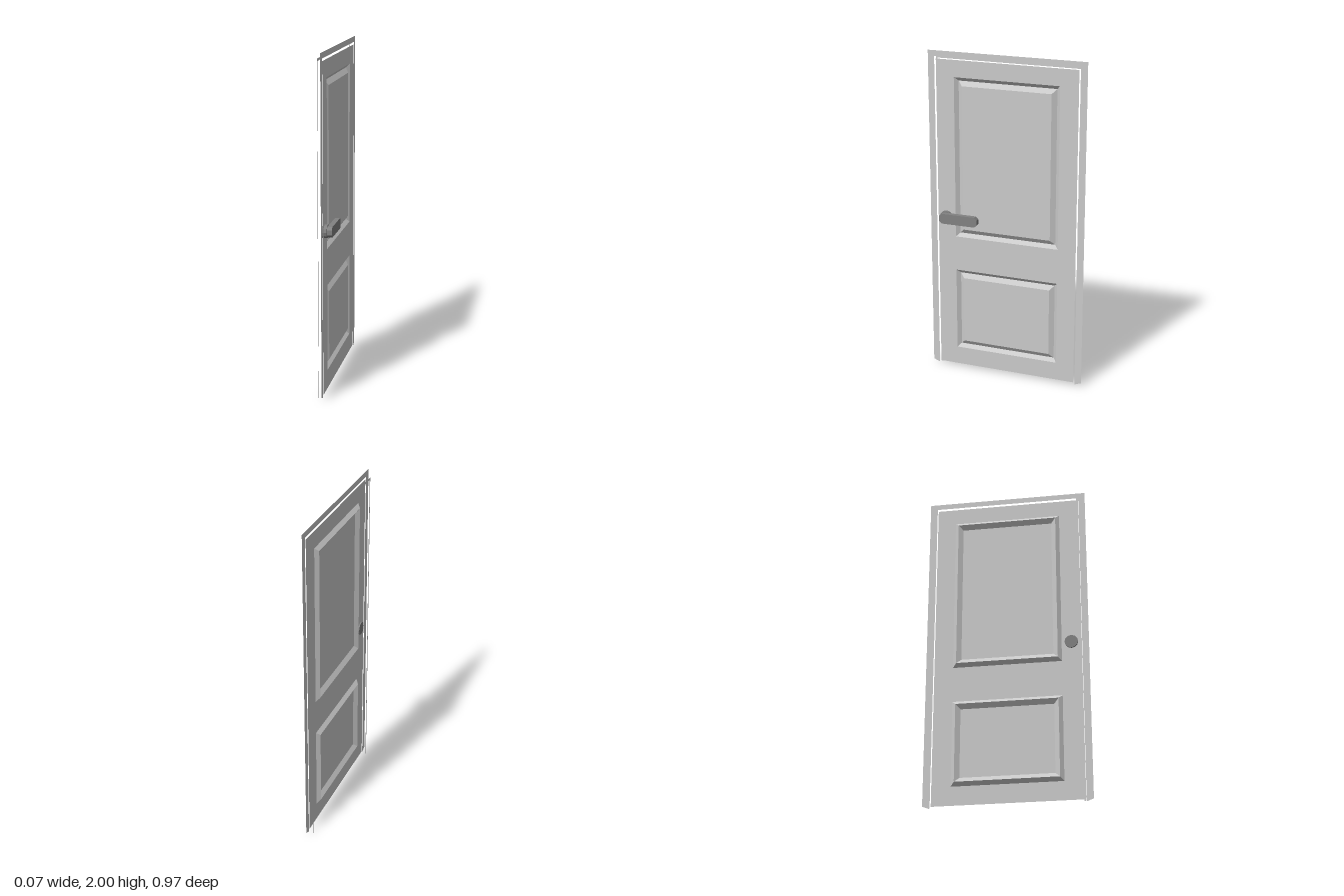
import * as THREE from 'three';

// Parts are laid out facing local +z, then the whole door is turned to face +x.
const sheet = new THREE.MeshStandardMaterial({ color: 0xcccccc, side: THREE.DoubleSide, flatShading: true });
const metal = new THREE.MeshStandardMaterial({ color: 0x828282, flatShading: true });

const shapeOf = (pts) => new THREE.Shape(pts.map(([x, y]) => new THREE.Vector2(x, y)));
const rect = (w, y0, y1) => [[-w, y0], [w, y0], [w, y1], [-w, y1]];

function add(parent, name, geometry, material, z = 0) {
  const mesh = new THREE.Mesh(geometry, material);
  mesh.name = name;
  mesh.position.z = z;
  parent.add(mesh);
  return mesh;
}

// Upside-down U strip; the feet may slope from outside to inside
function surround(outer, inner, top, innerTop, footOut, footIn) {
  return new THREE.ShapeGeometry(shapeOf([
    [outer, footOut], [outer, top], [-outer, top], [-outer, footOut],
    [-inner, footIn], [-inner, innerTop], [inner, innerTop], [inner, footIn],
  ]));
}

// Sunken moulding and raised field, lofted through rectangular loops
function panelGeometry(loops) {
  const pos = [], index = [];
  for (const { w, y0, y1, z } of loops) {
    for (const [x, y] of rect(w, y0, y1)) pos.push(x, y, z);
  }
  for (let k = 0; k < loops.length - 1; k++) {
    for (let i = 0; i < 4; i++) {
      const a = k * 4 + i, b = k * 4 + (i + 1) % 4;
      index.push(a, b, b + 4, a, b + 4, a + 4);
    }
  }
  const n = (loops.length - 1) * 4;
  index.push(n, n + 1, n + 2, n, n + 2, n + 3);
  const g = new THREE.BufferGeometry();
  g.setAttribute('position', new THREE.Float32BufferAttribute(pos, 3));
  g.setIndex(index);
  const flat = g.toNonIndexed();
  flat.computeVertexNormals();
  return flat;
}

export function createModel() {
  const model = new THREE.Group();
  model.name = 'door';
  const face = -0.01, groove = -0.03;

  // Casing and the thin stop set back behind it
  add(model, 'casing', surround(0.487, 0.447, 2, 1.966, 0.02, 0.005), sheet, face);
  add(model, 'doorStop', surround(0.447, 0.437, 1.966, 1.952, 0, 0), sheet, -0.037);

  // Door leaf with two panel openings
  const panels = [
    { name: 'upperPanel', y0: 0.866, y1: 1.85 },
    { name: 'lowerPanel', y0: 0.13, y1: 0.649 },
  ];
  const leaf = shapeOf(rect(0.437, 0.017, 1.952));
  for (const { name, y0, y1 } of panels) {
    leaf.holes.push(shapeOf(rect(0.325, y0, y1)));
    const loops = [[0, face], [0.022, groove], [0.05, face]].map(([inset, z]) => (
      { w: 0.325 - inset, y0: y0 + inset, y1: y1 - inset, z }));
    add(model, name, panelGeometry(loops), sheet);
  }
  add(model, 'doorLeaf', new THREE.ShapeGeometry(leaf), sheet, face);

  // Handle: round rose and lever with clipped ends
  const handle = new THREE.Group();
  handle.name = 'handle';
  handle.position.set(-0.383, 0.986, 0);
  const rose = new THREE.CylinderGeometry(0.04, 0.04, 0.026, 12);
  rose.rotateX(Math.PI / 2);
  add(handle, 'handleRose', rose, metal, -0.005);
  const lever = shapeOf([
    [-0.032, -0.015], [-0.016, -0.031], [0.196, -0.031], [0.212, -0.015],
    [0.212, 0.015], [0.196, 0.031], [-0.016, 0.031], [-0.032, 0.015],
  ]);
  add(handle, 'handleLever', new THREE.ExtrudeGeometry(lever, { depth: 0.029, bevelEnabled: false }), metal, 0.008);
  model.add(handle);

  model.rotation.y = Math.PI / 2;
  const root = new THREE.Group();
  root.name = 'panelDoor';
  root.add(model);
  return root;
}
